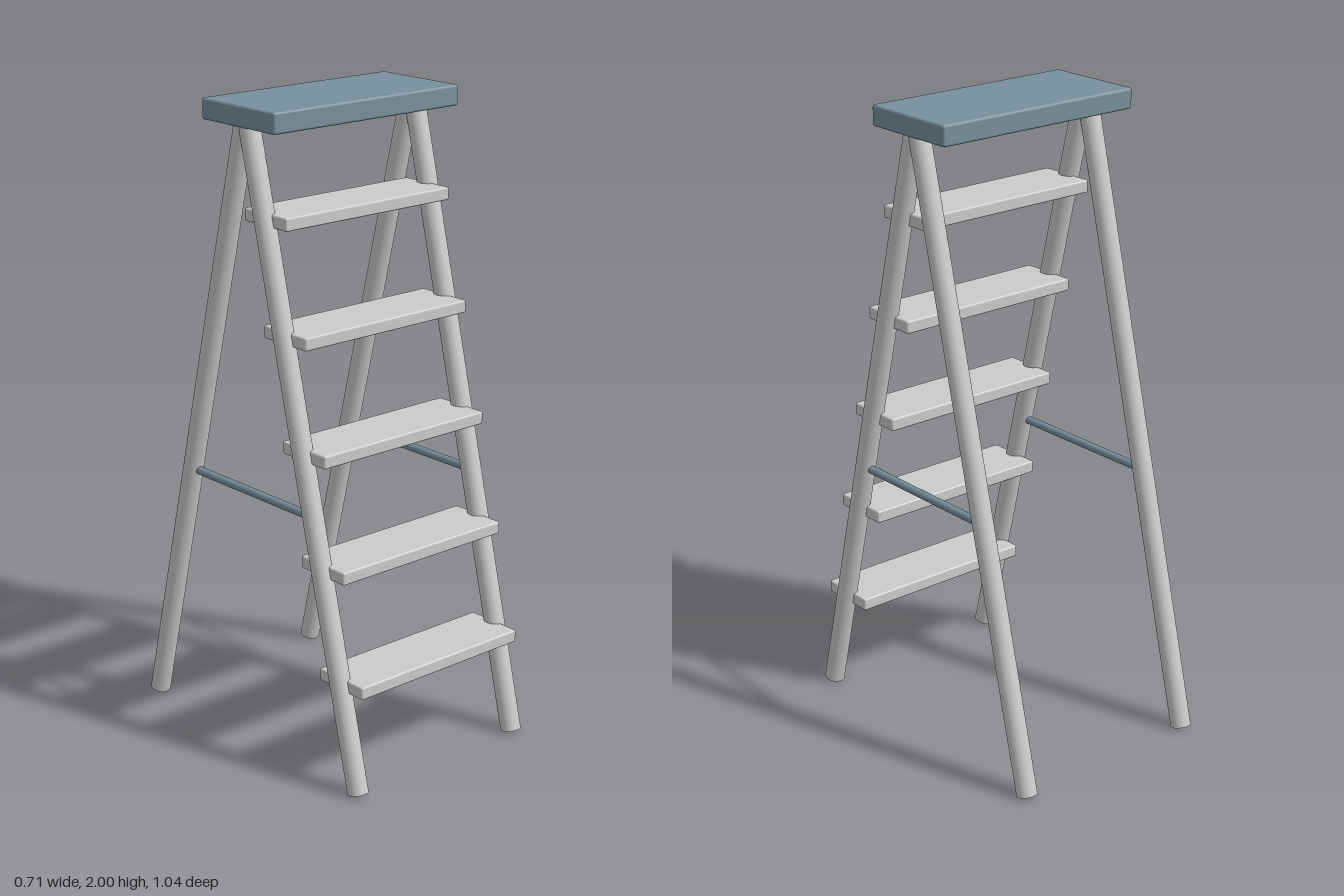
import * as THREE from 'three';
import { RoundedBoxGeometry } from 'three/addons/geometries/RoundedBoxGeometry.js';

const grey = new THREE.MeshStandardMaterial({ color: 0xcccccc });
const blue = new THREE.MeshStandardMaterial({ color: 0x78909c });

// Round bar between two points
function bar(name, from, to, radius, material, sides = 32) {
  const a = new THREE.Vector3(...from), b = new THREE.Vector3(...to);
  const dir = b.clone().sub(a);
  const mesh = new THREE.Mesh(new THREE.CylinderGeometry(radius, radius, dir.length(), sides), material);
  mesh.position.copy(a).add(b).multiplyScalar(0.5);
  mesh.quaternion.setFromUnitVectors(new THREE.Vector3(0, 1, 0), dir.normalize());
  mesh.name = name;
  return mesh;
}

// Board with slightly eased edges
function board(name, size, position, bevel, material) {
  const mesh = new THREE.Mesh(new RoundedBoxGeometry(...size, 2, bevel), material);
  mesh.position.set(...position);
  mesh.name = name;
  return mesh;
}

export function createModel() {
  const ladder = new THREE.Group();
  ladder.name = 'stepladder';

  // Legs and side braces, mirrored left and right
  for (const [side, s] of [['left', 1], ['right', -1]]) {
    const x = 0.322 * s;
    ladder.add(
      bar(side + 'FrontLeg', [x, 0.008, 0.484], [x, 1.945, 0.007], 0.032, grey),
      bar(side + 'BackLeg', [x, 0.008, -0.49], [x, 1.945, -0.012], 0.032, grey),
      bar(side + 'Brace', [x, 0.825, 0.283], [x, 0.825, -0.287], 0.013, blue, 20)
    );
  }

  // Steps follow the slope of the front legs
  for (let i = 0; i < 5; i++) {
    ladder.add(board('step' + (i + 1), [0.64, 0.04, 0.19],
      [0, 0.333 + i * 0.3355, 0.403 - i * 0.0827], 0.006, grey));
  }

  // Top platform
  ladder.add(board('topPlatform', [0.715, 0.064, 0.33], [0, 1.968, -0.003], 0.008, blue));
  return ladder;
}
